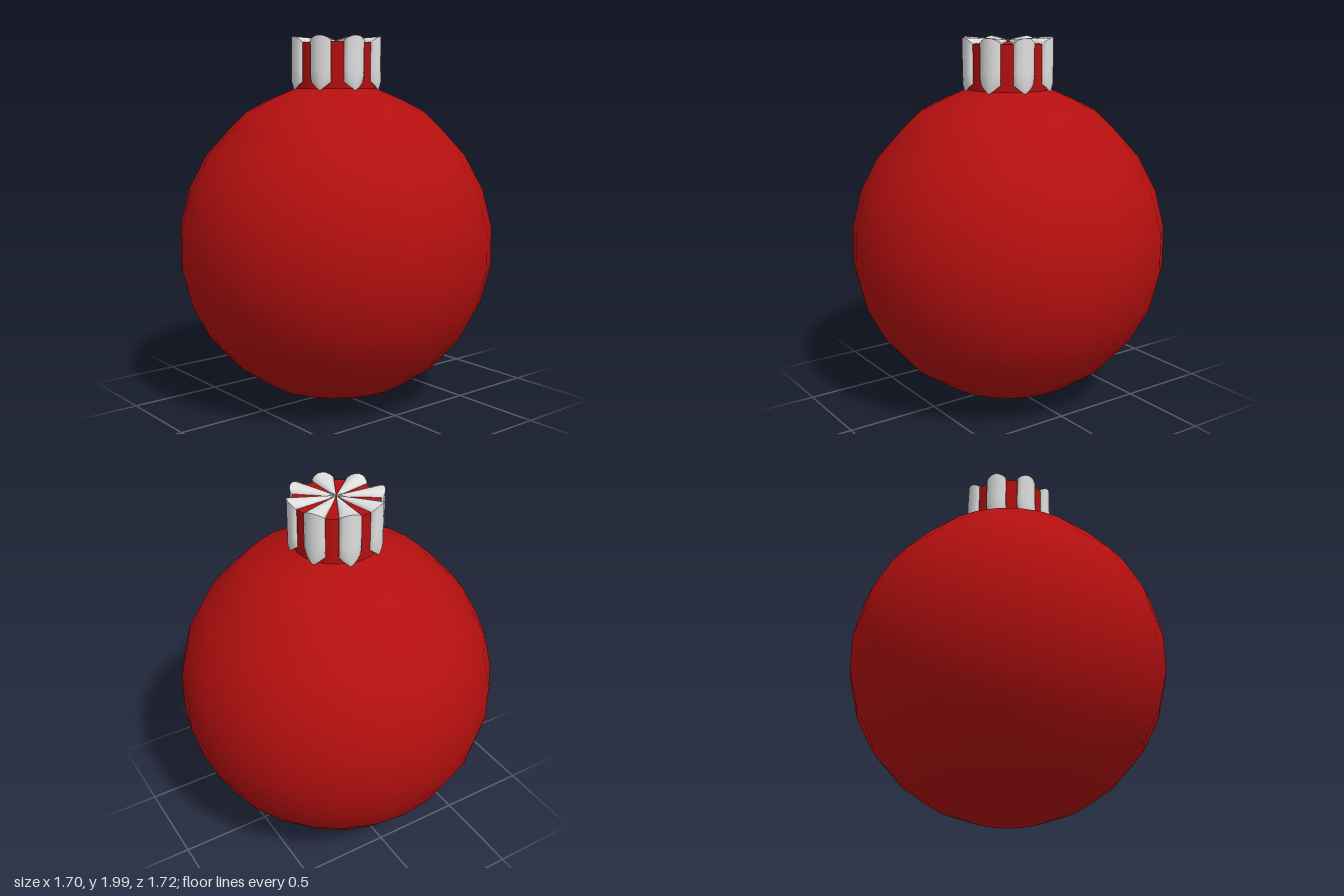
import * as THREE from 'three';

const red = new THREE.MeshStandardMaterial({ color: 0xb40f0f });
red.name = 'red';
const white = new THREE.MeshStandardMaterial({ color: 0xdedede, side: THREE.DoubleSide });
white.name = 'white';

function lathe(points, segments, name) {
  const pts = points.map(([r, y]) => new THREE.Vector2(r, y));
  const mesh = new THREE.Mesh(new THREE.LatheGeometry(pts, segments), red);
  mesh.name = name;
  return mesh;
}

// Surface from a grid of columns and rows; point(i, j) gives [angle, radius, y]
function panel(cols, rows, point, name) {
  const pos = [], idx = [];
  for (let j = 0; j <= rows; j++) {
    for (let i = 0; i <= cols; i++) {
      const [a, r, y] = point(i, j);
      pos.push(Math.sin(a) * r, y, Math.cos(a) * r);
      if (i < cols && j < rows) {
        const p = j * (cols + 1) + i, q = p + cols + 1;
        idx.push(p, q, p + 1, p + 1, q, q + 1);
      }
    }
  }
  const geo = new THREE.BufferGeometry();
  geo.setAttribute('position', new THREE.Float32BufferAttribute(pos, 3));
  geo.setIndex(idx);
  geo.computeVertexNormals();
  const mesh = new THREE.Mesh(geo, white);
  mesh.name = name;
  return mesh;
}

// One rounded stripe of the cap: a wedge on top and a pointed strip down the side
function createStripe() {
  const stripe = new THREE.Group();
  stripe.name = 'capStripe';
  const cols = 8, half = 0.245;
  // The outermost columns fold inwards to close the flanks
  const across = (i) => {
    const u = THREE.MathUtils.clamp((i - 1) / (cols - 2) * 2 - 1, -1, 1);
    return { u, bulge: 1 - u * u, flank: i === 0 || i === cols };
  };
  const rim = (s) => 0.237 + 0.017 * s.bulge - (s.flank ? 0.025 : 0);
  const topY = (s, t) => 1.985 + t * (0.015 * s.bulge - 0.008 * (1 - s.bulge)) - (s.flank ? 0.03 * t : 0);

  stripe.add(panel(cols, 4, (i, j) => {
    const s = across(i), t = j / 4;
    return [s.u * half, rim(s) * t, topY(s, t)];
  }, 'stripeTop'));

  stripe.add(panel(cols, 4, (i, j) => {
    const s = across(i);
    const tip = 1.76 - 0.047 * (1 - Math.abs(s.u));
    const y = [topY(s, 1), 1.9, 1.82, tip + 0.035, tip][j];
    return [s.u * half, rim(s) - (j === 4 ? 0.01 : 0), y];
  }, 'stripeSide'));
  return stripe;
}

export function createModel() {
  const model = new THREE.Group();
  model.name = 'bauble';

  // Ball, with a shoulder leading into the neck
  const profile = [];
  for (let k = 0; k <= 10; k++) {
    const a = THREE.MathUtils.degToRad(k * 13.9);
    profile.push([0.864 * Math.sin(a), 0.872 - 0.864 * Math.cos(a)]);
  }
  profile.push([0.48, 1.606], [0.36, 1.668], [0.25, 1.716], [0.2, 1.735]);
  model.add(lathe(profile, 26, 'ball'));

  // Neck inside the cap
  model.add(lathe([[0.225, 1.7], [0.225, 1.968]], 24, 'neck'));
  model.add(lathe([[0.225, 1.968], [0, 1.978]], 24, 'neckTop'));

  // Eight stripes around the cap
  for (let k = 0; k < 8; k++) {
    const stripe = createStripe();
    stripe.rotation.y = THREE.MathUtils.degToRad(-14 + k * 45);
    model.add(stripe);
  }
  return model;
}
